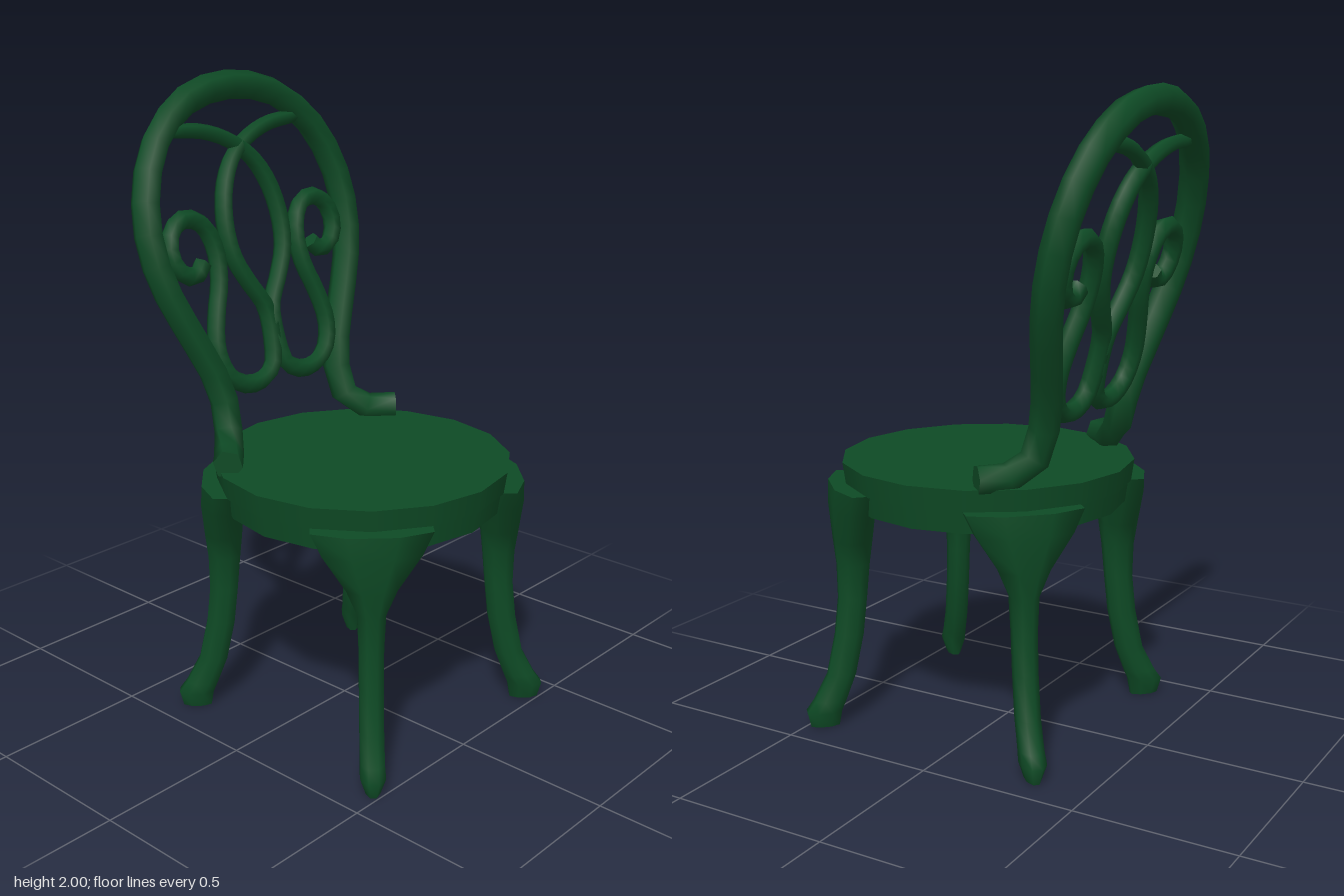
import * as THREE from 'three';

const green = new THREE.MeshStandardMaterial({ color: 0x0e4a25 });
green.name = 'dark green paint';

// Skin a list of rings (each an array of Vector3) and cap both ends
function loft(rings) {
  const n = rings[0].length, last = rings.length - 1;
  const pos = [], idx = [];
  rings.forEach(r => r.forEach(p => pos.push(p.x, p.y, p.z)));
  for (let i = 0; i < last; i++) {
    for (let j = 0; j < n; j++) {
      const k = (j + 1) % n;
      const a = i * n + j, d = i * n + k, b = a + n, c = d + n;
      idx.push(a, d, b, d, c, b);
    }
  }
  [0, last].forEach(e => {
    const s = pos.length / 3;
    rings[e].forEach(p => pos.push(p.x, p.y, p.z));
    for (let j = 1; j < n - 1; j++) {
      if (e) idx.push(s, s + j, s + j + 1);
      else idx.push(s, s + j + 1, s + j);
    }
  });
  const g = new THREE.BufferGeometry();
  g.setAttribute('position', new THREE.Float32BufferAttribute(pos, 3));
  g.setIndex(idx);
  g.computeVertexNormals();
  return g;
}

// The backrest lies in a plane leaning backwards
const SLOPE = 0.242;
const leanZ = y => -0.265 - SLOPE * (y - 1);
const planeNormal = new THREE.Vector3(0, SLOPE, 1).normalize();

// Six-sided bar swept along a smooth curve, its ridges kept aligned with the backrest plane
function bar(points, segments, radiusAt) {
  const curve = new THREE.CatmullRomCurve3(points, false, 'centripetal');
  const rings = [];
  for (let i = 0; i <= segments; i++) {
    const u = i / segments;
    const p = curve.getPointAt(u), t = curve.getTangentAt(u);
    const n = planeNormal.clone().cross(t).normalize();
    const b = t.clone().cross(n);
    const r = radiusAt(u);
    rings.push(Array.from({ length: 6 }, (_, j) => {
      const a = j * Math.PI / 3;
      return p.clone().addScaledVector(n, r * Math.cos(a)).addScaledVector(b, r * Math.sin(a));
    }));
  }
  return loft(rings);
}

// Leg sections, bottom to top: [height, distance from seat centre, half width across, half depth]
const LEG = [
  [0, 0.538, 0.022, 0.045],
  [0.05, 0.54, 0.038, 0.055],
  [0.085, 0.52, 0.036, 0.05],
  [0.17, 0.482, 0.036, 0.044],
  [0.3, 0.455, 0.036, 0.044],
  [0.42, 0.442, 0.037, 0.044],
  [0.53, 0.438, 0.042, 0.05],
  [0.61, 0.438, 0.075, 0.058],
  [0.72, 0.438, 0.145, 0.066],
  [0.79, 0.434, 0.178, 0.066],
];

function legGeometry() {
  return loft(LEG.map(([y, r, w, d]) => Array.from({ length: 8 }, (_, j) => {
    const a = (j + 0.5) * Math.PI / 4, k = 1 / Math.cos(Math.PI / 8);
    return new THREE.Vector3(w * k * Math.sin(a), y, r + d * k * Math.cos(a));
  })));
}

export function createModel() {
  const model = new THREE.Group();
  model.name = 'gardenChair';
  const add = (name, geometry, parent = model) => {
    const m = new THREE.Mesh(geometry, green);
    m.name = name;
    parent.add(m);
    return m;
  };

  // Seat, apron and legs share one centre
  const base = new THREE.Group();
  base.name = 'seatAndLegs';
  base.position.z = 0.075;
  model.add(base);
  add('seat', new THREE.CylinderGeometry(0.464, 0.454, 0.07, 16), base).position.y = 0.822;
  add('apron', new THREE.CylinderGeometry(0.446, 0.436, 0.07, 16), base).position.y = 0.755;
  const leg = legGeometry();
  ['frontLeftLeg', 'backLeftLeg', 'backRightLeg', 'frontRightLeg'].forEach((name, i) => {
    add(name, leg, base).rotation.y = Math.PI / 4 + i * Math.PI / 2;
  });

  // Outer hoop of the backrest, from one splayed foot round to the other
  const half = [
    [0.39, 0.882, -0.122], [0.325, 0.882, -0.185], [0.275, 0.92, -0.238],
    [0.258, 1.0], [0.28, 1.11], [0.345, 1.25], [0.405, 1.39], [0.43, 1.52],
    [0.41, 1.67], [0.335, 1.81], [0.19, 1.92],
  ].map(([x, y, z]) => new THREE.Vector3(x, y, z ?? leanZ(y)));
  const mirrored = half.map(p => new THREE.Vector3(-p.x, p.y, p.z)).reverse();
  const top = new THREE.Vector3(0, 1.956, leanZ(1.956));
  add('backHoop', bar([...half, top, ...mirrored], 32, () => 0.046));

  // Mirrored scrolls: curl, lower loop, central stem, oval, then crossing to the far side
  const scroll = [
    [0.24, 1.44], [0.27, 1.41], [0.325, 1.42], [0.36, 1.48], [0.34, 1.55], [0.28, 1.58],
    [0.215, 1.555], [0.18, 1.48], [0.187, 1.38], [0.225, 1.28], [0.248, 1.18],
    [0.225, 1.1], [0.165, 1.055], [0.09, 1.05], [0.03, 1.085], [0.012, 1.15],
    [0.014, 1.27], [0.06, 1.345], [0.11, 1.44], [0.12, 1.54], [0.095, 1.65],
    [0.04, 1.735], [-0.04, 1.79], [-0.14, 1.825], [-0.27, 1.838],
  ];
  [['leftScroll', 1], ['rightScroll', -1]].forEach(([name, s]) => {
    const pts = scroll.map(([x, y]) => new THREE.Vector3(s * x, y, leanZ(y)));
    add(name, bar(pts, 56, u => (u > 0.8 ? 0.03 - (u - 0.8) * 0.04 : 0.03)));
  });

  return model;
}
